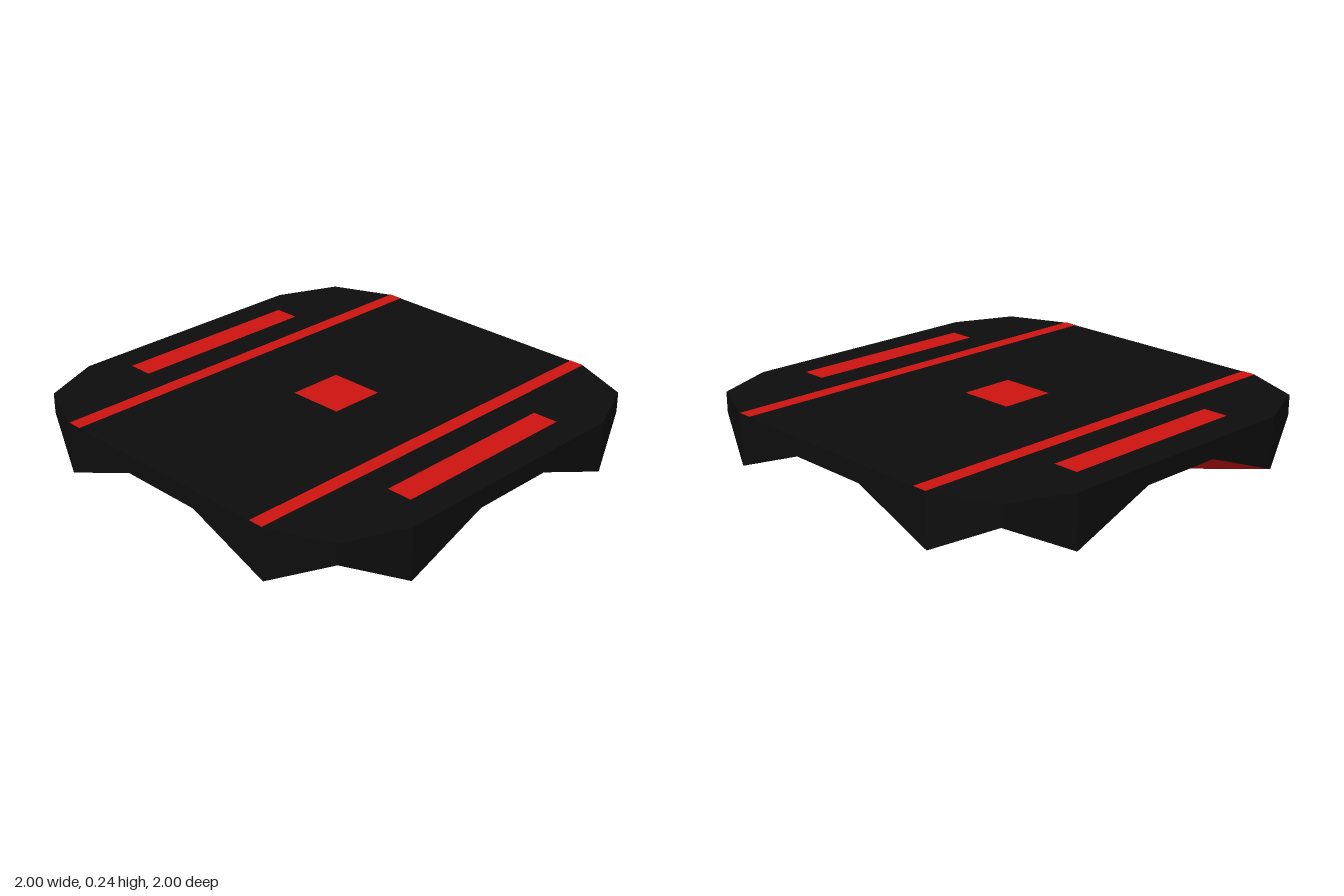
import * as THREE from 'three';

const TOP = 0.24;
const black = new THREE.MeshStandardMaterial({ color: 0x0d0d0d, flatShading: true });
const red = new THREE.MeshStandardMaterial({ color: 0xcc1410, flatShading: true });

// Flat-shaded mesh from a list of triangles, each three [x, y, z] corners
function facetMesh(name, tris, material) {
  const geometry = new THREE.BufferGeometry();
  geometry.setAttribute('position', new THREE.Float32BufferAttribute(tris.flat(2), 3));
  geometry.computeVertexNormals();
  const mesh = new THREE.Mesh(geometry, material);
  mesh.name = name;
  return mesh;
}

// Quarter turns about the vertical axis
function turn([x, y, z], quarters) {
  for (let i = 0; i < quarters; i++) [x, z] = [z, -x];
  return [x, y, z];
}

// Lower rim of one side: foot, arch, foot, raised corner, next foot
const rim = [[-0.6, 0, 1], [-0.2, 0.155, 1], [0.2, 0.155, 1], [0.6, 0, 1], [0.88, 0.145, 0.88], [1, 0, 0.6]];
// Edge of the flat bottom on that side
const inner = [-0.6, -0.2, 0.2, 0.6].map((x) => [x, 0, 0.6]);

export function createModel() {
  const model = new THREE.Group();
  model.name = 'platform';
  const deck = [], walls = [], underside = [];

  for (let q = 0; q < 4; q++) {
    const o = rim.map((p) => turn(p, q));
    const n = inner.map((p) => turn(p, q));
    const up = o.map(([x, , z]) => [x, TOP, z]);

    for (let i = 0; i < 5; i++) {
      deck.push([[0, TOP, 0], up[i], up[i + 1]]);
      walls.push([o[i], o[i + 1], up[i + 1]], [o[i], up[i + 1], up[i]]);
    }

    // Sloping arch and corner facets, then a quarter of the flat bottom
    const facets = [
      [o[0], o[1], n[0]], [n[0], o[1], n[1]],
      [n[1], o[1], o[2]], [n[1], o[2], n[2]],
      [n[2], o[2], o[3]], [n[2], o[3], n[3]],
      [n[3], o[3], o[4]], [n[3], o[4], o[5]],
      [[0, 0, 0], n[0], n[3]],
    ];
    underside.push(...facets.map(([a, b, c]) => [a, c, b]));
  }

  model.add(
    facetMesh('deck', deck, black),
    facetMesh('sideWalls', walls, black),
    facetMesh('underside', underside, red),
  );

  // Flat red markings on the deck
  function marking(name, width, depth, z) {
    const mesh = new THREE.Mesh(new THREE.PlaneGeometry(width, depth), red);
    mesh.rotation.x = -Math.PI / 2;
    mesh.position.set(0, TOP + 0.002, z);
    mesh.name = name;
    model.add(mesh);
  }
  marking('centreSquare', 0.26, 0.26, 0);
  for (const [side, s] of [['front', 1], ['back', -1]]) {
    marking(side + 'Stripe', 2, 0.07, s * 0.565);
    marking(side + 'Bar', 0.92, 0.12, s * 0.8);
  }
  return model;
}
